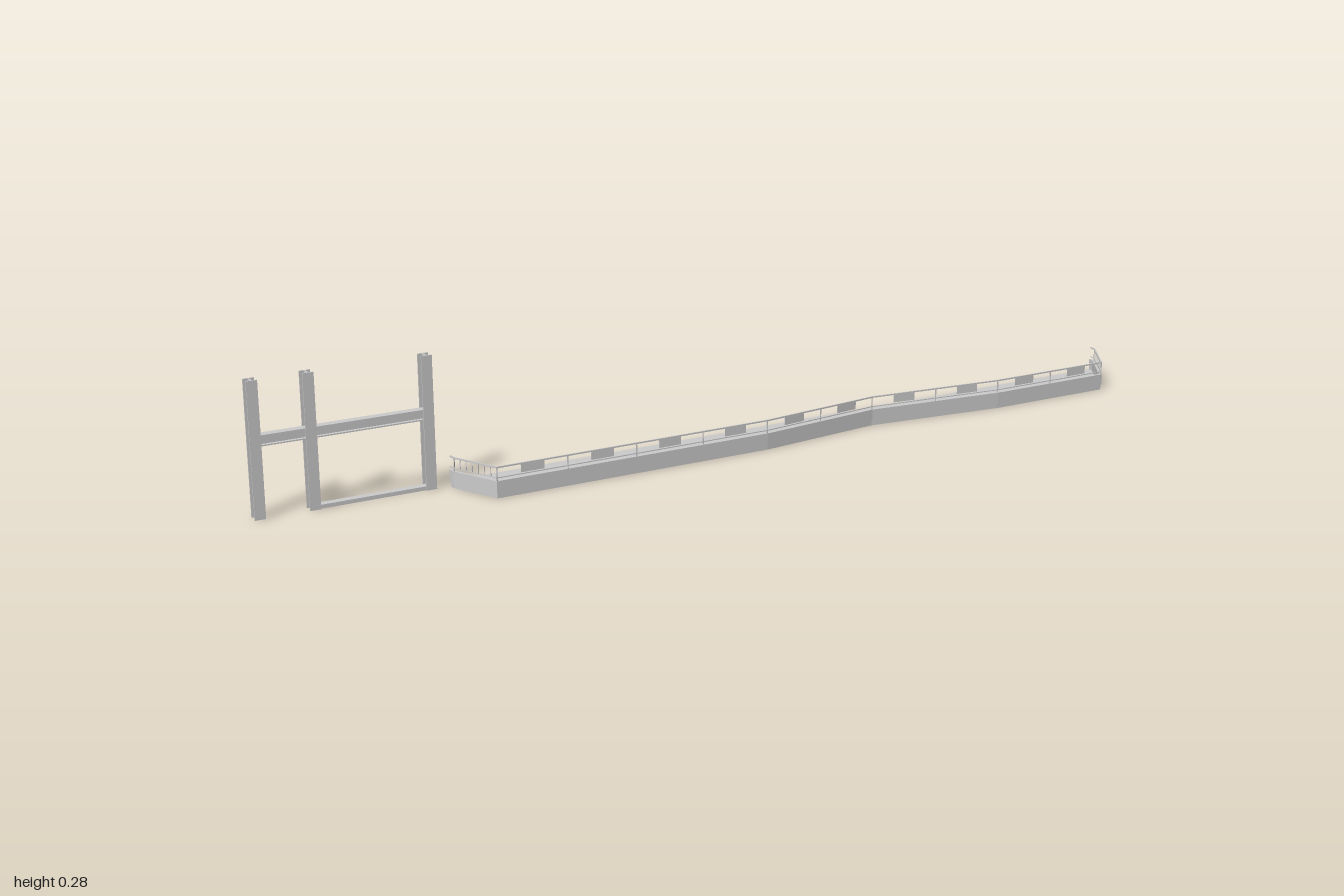
import * as THREE from 'three';

const material = new THREE.MeshStandardMaterial({ color: 0xcccccc, side: THREE.DoubleSide });

// Open balcony edge in plan as [x, z], from the wall round the front and back to the wall
const edge = [[-0.602, -0.045], [-0.6, -0.03], [-0.55, 0.065], [0.06, 0.065], [0.34, 0.033],
  [0.65, 0.065], [0.94, 0.065], [0.997, -0.03], [0.999, -0.045]].map(([x, z]) => new THREE.Vector2(x, z));

// Moves the edge line sideways by d (positive is outward), mitring the corners
function offsetEdge(d) {
  return edge.map((p, i) => {
    const normals = [];
    if (i > 0) normals.push(p.clone().sub(edge[i - 1]).normalize());
    if (i < edge.length - 1) normals.push(edge[i + 1].clone().sub(p).normalize());
    const sides = normals.map((t) => new THREE.Vector2(-t.y, t.x));
    const m = sides[0].clone();
    if (sides[1]) m.add(sides[1]).normalize();
    return p.clone().addScaledVector(m, d / m.dot(sides[0]));
  });
}

function addMesh(parent, name, geometry) {
  const mesh = new THREE.Mesh(geometry, material);
  mesh.name = name;
  parent.add(mesh);
  return mesh;
}

// Plan outline raised from y0 to y1
function slab(points, y0, y1) {
  const geometry = new THREE.ExtrudeGeometry(new THREE.Shape(points), { depth: y1 - y0, bevelEnabled: false });
  return geometry.rotateX(Math.PI / 2).translate(0, y1, 0);
}

// Band that follows the balcony edge between two offsets
function edgeBand(inner, outer, y0, y1) {
  return slab([...offsetEdge(outer), ...offsetEdge(inner).reverse()], y0, y1);
}

// I-shaped steel section, extruded along z
function steelSection(width, height, length) {
  const w = width / 2, h = height / 2, t = 0.0025, s = 0.0015;
  const half = [[-w, -h], [w, -h], [w, -h + t], [s, -h + t], [s, h - t], [w, h - t]];
  const points = [...half, ...half.map(([x, y]) => [-x, -y])].map(([x, y]) => new THREE.Vector2(x, y));
  return new THREE.ExtrudeGeometry(new THREE.Shape(points), { depth: length, bevelEnabled: false });
}

function createBalcony() {
  const balcony = new THREE.Group();
  balcony.name = 'balcony';
  addMesh(balcony, 'deck', slab(edge, 0, 0.012));
  addMesh(balcony, 'fascia', edgeBand(-0.004, 0.002, 0.012, 0.036));

  // Railing: rails, posts, infill panels on the long runs and bars on the angled ends
  const railing = new THREE.Group();
  railing.name = 'railing';
  balcony.add(railing);
  addMesh(railing, 'topRail', edgeBand(-0.002, 0.001, 0.062, 0.065));
  addMesh(railing, 'bottomRail', edgeBand(-0.001, 0, 0.041, 0.043));
  const line = offsetEdge(-0.0005);
  for (let i = 1; i < line.length - 2; i++) {
    const a = line[i], b = line[i + 1], run = b.clone().sub(a);
    const length = run.length(), angle = -Math.atan2(run.y, run.x);
    const place = (name, t, width, thickness, y0, y1) => {
      const mesh = addMesh(railing, name, new THREE.BoxGeometry(width, y1 - y0, thickness));
      mesh.position.set(a.x + run.x * t, (y0 + y1) / 2, a.y + run.y * t);
      mesh.rotation.y = angle;
    };
    const isEnd = i === 1 || i === line.length - 3;
    const bays = Math.max(1, Math.round(length / 0.14));
    for (let k = 0; k <= bays; k++) place('post', k / bays, 0.002, 0.002, 0.034, 0.063);
    if (isEnd) {
      for (let k = 1; k < 7; k++) place('baluster', k / 7, 0.002, 0.001, 0.042, 0.063);
    } else {
      for (let k = 0; k < bays; k++) place('infillPanel', (k + 0.5) / bays, 0.05, 0.001, 0.045, 0.063);
    }
  }
  return balcony;
}

function createFrame() {
  const frame = new THREE.Group();
  frame.name = 'steelFrame';
  const z = -0.056, postX = [-0.989, -0.88, -0.642];
  for (const x of postX) {
    const post = addMesh(frame, 'post', steelSection(0.022, 0.022, 0.275));
    post.rotation.x = -Math.PI / 2;
    post.position.set(x, 0, z);
  }
  // Cross beams between neighbouring posts
  for (let i = 0; i < 2; i++) {
    const beam = addMesh(frame, 'crossBeam', steelSection(0.018, 0.022, postX[i + 1] - postX[i] - 0.01));
    beam.rotation.y = Math.PI / 2;
    beam.position.set(postX[i] + 0.005, 0.155, z);
  }
  const sill = addMesh(frame, 'sill', new THREE.BoxGeometry(postX[2] - postX[1], 0.008, 0.016));
  sill.position.set((postX[1] + postX[2]) / 2, 0.004, z);
  return frame;
}

export function createModel() {
  const model = new THREE.Group();
  model.name = 'balconyWithFrame';
  model.add(createBalcony(), createFrame());
  return model;
}
